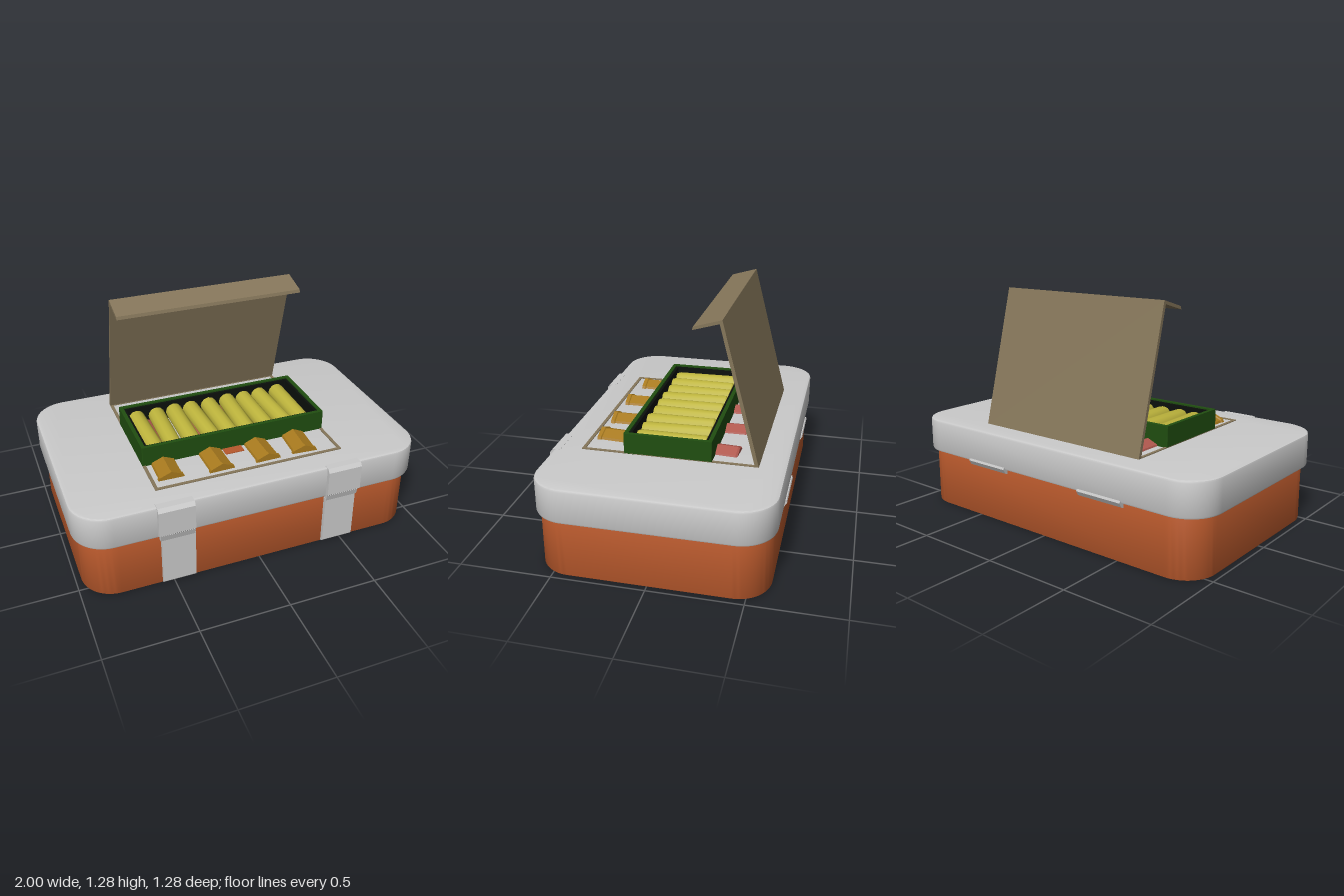
import * as THREE from 'three';
import { toCreasedNormals } from 'three/addons/utils/BufferGeometryUtils.js';

const paint = (name, color) => {
  const m = new THREE.MeshStandardMaterial({ color });
  m.name = name;
  return m;
};

// rounded rectangle outline centred on the origin
function roundedRect(w, d, r, Type = THREE.Shape) {
  const s = new Type(), x = w / 2, y = d / 2;
  s.moveTo(-x + r, -y);
  s.lineTo(x - r, -y);
  s.absarc(x - r, -y + r, r, -Math.PI / 2, 0);
  s.lineTo(x, y - r);
  s.absarc(x - r, y - r, r, 0, Math.PI / 2);
  s.lineTo(-x + r, y);
  s.absarc(-x + r, y - r, r, Math.PI / 2, Math.PI);
  s.lineTo(-x, -y + r);
  s.absarc(-x + r, -y + r, r, Math.PI, Math.PI * 1.5);
  return s;
}

// upright slab with rounded corners and softened top and bottom edges
function slab(w, d, r, y0, y1, bevel) {
  const g = new THREE.ExtrudeGeometry(roundedRect(w - 2 * bevel, d - 2 * bevel, r - bevel), {
    depth: y1 - y0 - 2 * bevel, bevelSize: bevel, bevelThickness: bevel, bevelSegments: 2, curveSegments: 8,
  });
  g.rotateX(-Math.PI / 2).translate(0, y0 + bevel, 0);
  return toCreasedNormals(g, 0.6);
}

// open rectangular ring standing between two heights
function ring(w, d, wall, y0, y1) {
  const s = roundedRect(w, d, 0.004);
  s.holes.push(roundedRect(w - 2 * wall, d - 2 * wall, 0.004, THREE.Path));
  const g = new THREE.ExtrudeGeometry(s, { depth: y1 - y0, bevelEnabled: false, curveSegments: 2 });
  return g.rotateX(-Math.PI / 2).translate(0, y0, 0);
}

// side profile of [z, y] points drawn out along x
function profileX(points, width) {
  const s = new THREE.Shape(points.map(([z, y]) => new THREE.Vector2(z, y)));
  const g = new THREE.ExtrudeGeometry(s, { depth: width, bevelEnabled: false });
  return g.rotateY(-Math.PI / 2).translate(width / 2, 0, 0);
}

// turned part lying along z, from [radius, z] points in rising z
function turned(points, sides, crease) {
  const g = new THREE.LatheGeometry(points.map(([r, z]) => new THREE.Vector2(r, z)), sides);
  return toCreasedNormals(g.rotateX(Math.PI / 2), crease);
}

export function createModel() {
  const model = new THREE.Group();
  model.name = 'supplyCase';
  const grey = paint('light grey', 0xcacaca);
  const orange = paint('burnt orange', 0xb9592c);
  const brown = paint('cardboard brown', 0x85765a);
  const green = paint('dark green', 0x204e10);
  const black = paint('liner black', 0x0c100c);
  const yellow = paint('yellow', 0xbdb43c);
  const brass = paint('brass', 0xa87a1e);
  const red = paint('faded red', 0xb0584e);

  const add = (name, geometry, material, x = 0, y = 0, z = 0, parent = model) => {
    const m = new THREE.Mesh(geometry, material);
    m.name = name;
    m.position.set(x, y, z);
    parent.add(m);
    return m;
  };

  // case
  add('caseBody', slab(1.94, 1.21, 0.18, 0, 0.335, 0.006), orange, 0, 0, -0.005);
  add('caseLid', slab(2, 1.245, 0.19, 0.32, 0.51, 0.012), grey, 0, 0, -0.0075);

  // front latches and back hinges
  const clasp = profileX([[0.58, 0.335], [0.628, 0.335], [0.638, 0.345], [0.638, 0.49], [0.622, 0.511], [0.58, 0.511]], 0.2);
  const claspTaper = profileX([[0.58, 0.3], [0.622, 0.3], [0.632, 0.337], [0.58, 0.337]], 0.19);
  const strap = profileX([[0.58, 0.008], [0.61, 0.008], [0.622, 0.022], [0.622, 0.31], [0.58, 0.31]], 0.185);
  const hinge = profileX([[-0.6, 0.29], [-0.625, 0.3], [-0.64, 0.325], [-0.636, 0.335], [-0.6, 0.335]].reverse(), 0.28);
  for (const side of [-1, 1]) {
    add('latchClasp', clasp, grey, side * 0.483);
    add('latchTaper', claspTaper, grey, side * 0.478);
    add('latchStrap', strap, grey, side * 0.473);
    add('hinge', hinge, grey, side * 0.405);
  }

  // cardboard carton: rim, raised flap and base
  add('cartonRim', ring(1.09, 0.95, 0.018, 0.48, 0.514), brown, 0, 0, -0.005);
  add('cartonFlap', profileX([[-0.488, 0.505], [-0.285, 1.28], [-0.14, 1.238], [-0.135, 1.22],
    [-0.272, 1.259], [-0.468, 0.505]].reverse(), 1.09), brown);
  for (const [x, z, w, d] of [[0.24, -0.06, 0.46, 0.42], [-0.36, -0.08, 0.38, 0.44], [0.08, 0.42, 0.26, 0.08]]) {
    add('cartonBase', new THREE.BoxGeometry(w, 0.004, d), brown, x, 0.001, z);
  }

  // open green tray with a dark liner
  add('tray', ring(1.09, 0.475, 0.022, 0.505, 0.626), green, 0, 0, -0.003);
  add('trayLiner', ring(1.05, 0.435, 0.016, 0.505, 0.618), black, 0, 0, -0.003);

  // yellow tubes in the tray, each slightly askew
  const tube = turned([[0, -0.2], [0.04, -0.2], [0.049, -0.19], [0.049, 0.17], [0.043, 0.19], [0, 0.192]], 12, 0.6);
  for (let i = 0; i < 9; i++) {
    const t = add('yellowTube', tube, yellow, -0.45 + i * 0.1115, 0.558, -0.002 + 0.004 * Math.sin(i * 2.3));
    t.rotation.y = 0.035 * Math.sin(i * 1.7 + 2.4);
  }

  // large capped tubes sunk beneath the tray
  const tubeBody = turned([[0, -0.38], [0.075, -0.38], [0.083, -0.37], [0.083, 0.24], [0, 0.24]], 8, 0.5);
  const tubeCap = turned([[0, 0.22], [0.088, 0.22], [0.088, 0.385], [0.094, 0.39], [0.094, 0.41], [0, 0.41]], 8, 0.5);
  [[-0.425, -0.015], [-0.16, 0.015], [0.115, 0.01], [0.37, -0.06]].forEach(([x, z], i) => {
    const g = new THREE.Group();
    g.name = 'cappedTube';
    g.position.set(x, 0.46, i ? 0.015 : -0.012);
    g.rotation.y = z * 1.2;
    model.add(g);
    add('tubeBody', tubeBody, red, 0, 0, 0, g);
    add('tubeCap', tubeCap, brass, 0, 0, 0, g);
  });

  // loose orange piece under the tray
  add('loosePiece', new THREE.BoxGeometry(0.11, 0.03, 0.42), orange, -0.025, 0.5, 0.08);
  return model;
}
